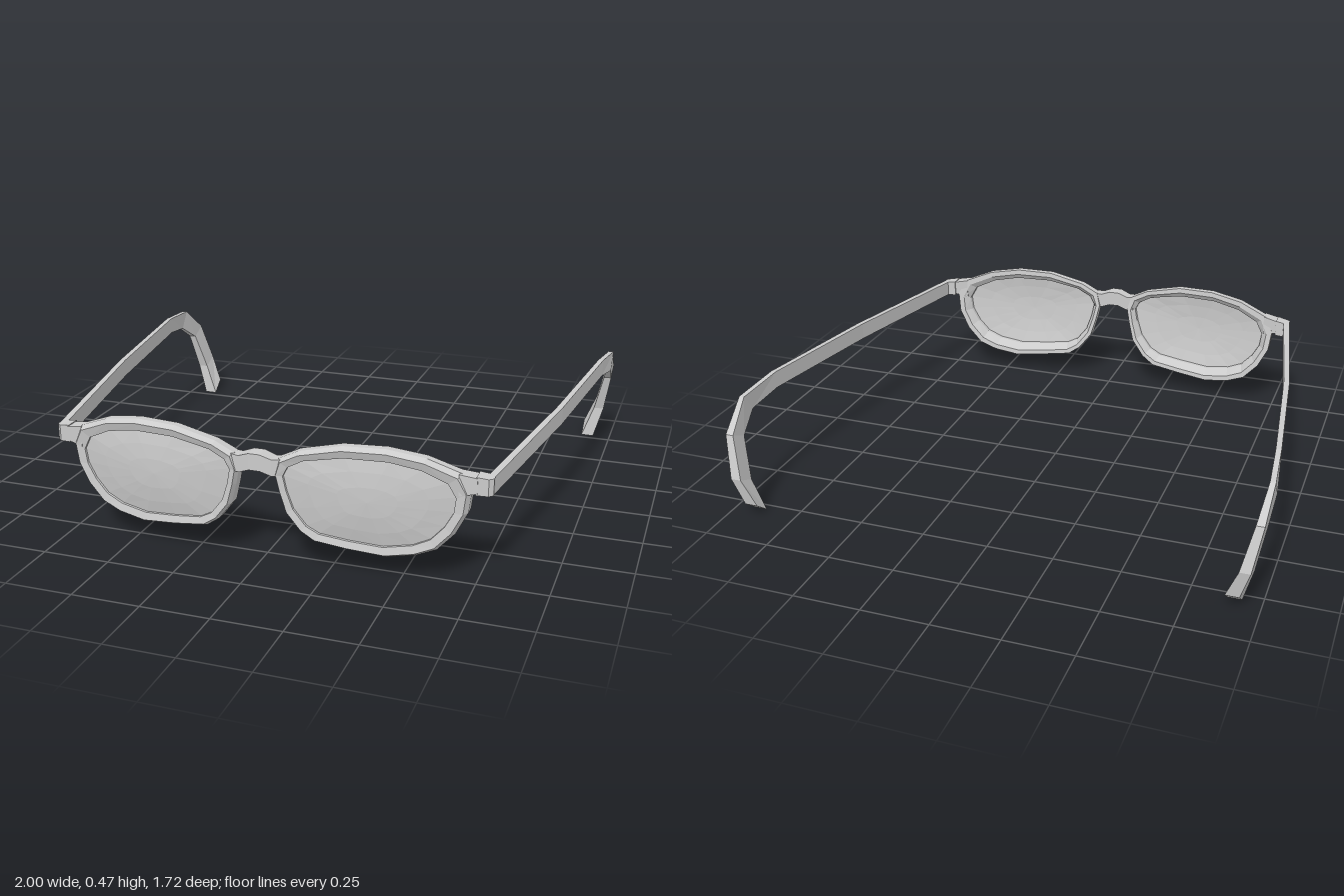
import * as THREE from 'three';

const frameMat = new THREE.MeshStandardMaterial({ color: 0xcccccc, flatShading: true });
const lensMat = new THREE.MeshStandardMaterial({ color: 0xcccccc, flatShading: true, side: THREE.DoubleSide });

// Joins equal-sized cross-sections; a ring is closed, otherwise the ends are capped
function loft(sections, ring = false) {
  const n = sections[0].length, m = sections.length, idx = [];
  for (let i = 0; i < (ring ? m : m - 1); i++) {
    for (let j = 0; j < n; j++) {
      const a = i * n + j, b = i * n + (j + 1) % n;
      const c = ((i + 1) % m) * n + j, d = ((i + 1) % m) * n + (j + 1) % n;
      idx.push(a, b, d, a, d, c);
    }
  }
  if (!ring) {
    const e = (m - 1) * n;
    for (let j = 1; j < n - 1; j++) idx.push(0, j + 1, j, e, e + j, e + j + 1);
  }
  // turn the faces outward if the enclosed volume comes out negative
  const pts = sections.flat().map((p) => new THREE.Vector3(...p));
  let volume = 0;
  for (let i = 0; i < idx.length; i += 3) {
    volume += pts[idx[i]].dot(pts[idx[i + 1]].clone().cross(pts[idx[i + 2]]));
  }
  return finish(pts, volume < 0 ? idx.reverse() : idx);
}

function finish(pts, idx) {
  const indexed = new THREE.BufferGeometry().setFromPoints(pts);
  indexed.setIndex(idx);
  const g = indexed.toNonIndexed();
  g.computeVertexNormals();
  return g;
}

// Curved, slightly tilted front of the spectacles, and its depth
const frontZ = (x, y) => 0.855 - 0.115 * x * x + 0.05 * (y - 0.38);
const backZ = (x, y) => frontZ(x, y) - 0.055 - 0.07 * (0.38 - y);

// Matching outer and inner outlines of one rim
const OUTER = [
  [0.065, 0.35], [0.08, 0.405], [0.15, 0.44], [0.30, 0.475], [0.45, 0.478], [0.58, 0.457],
  [0.70, 0.41], [0.73, 0.35], [0.72, 0.27], [0.68, 0.19], [0.62, 0.125], [0.55, 0.097],
  [0.45, 0.08], [0.32, 0.093], [0.20, 0.11], [0.15, 0.145], [0.10, 0.21], [0.078, 0.29],
];
const INNER = [
  [0.097, 0.345], [0.115, 0.38], [0.17, 0.41], [0.31, 0.436], [0.46, 0.436], [0.57, 0.415],
  [0.655, 0.375], [0.682, 0.325], [0.675, 0.27], [0.645, 0.215], [0.60, 0.165], [0.54, 0.137],
  [0.44, 0.12], [0.32, 0.13], [0.22, 0.143], [0.175, 0.167], [0.13, 0.225], [0.108, 0.29],
];

function rim(s) {
  return loft(OUTER.map(([ox, oy], i) => {
    const [ix, iy] = INNER[i];
    const at = (t, back, dz) => {
      const x = ox + (ix - ox) * t, y = oy + (iy - oy) * t;
      return [s * x, y, (back ? backZ(x, y) : frontZ(x, y)) + dz];
    };
    return [at(0, true, 0), at(0, false, -0.02), at(0.3, false, 0),
      at(1, false, -0.008), at(1, false, -0.035), at(0.5, true, 0)];
  }), true);
}

// Gently domed lens made of shrinking rings
function lens(s) {
  const n = INNER.length, pts = [], idx = [], cx = 0.39, cy = 0.285;
  const put = (k, x, y) => pts.push(new THREE.Vector3(s * x, y, frontZ(x, y) - 0.018 + 0.017 * (1 - k * k)));
  const rings = [1, 0.7, 0.35];
  for (const k of rings) for (const [x, y] of INNER) put(k, cx + (x - cx) * k, cy + (y - cy) * k);
  put(0, cx, cy);
  for (let r = 0; r < rings.length; r++) {
    for (let j = 0; j < n; j++) {
      const a = r * n + j, b = r * n + (j + 1) % n;
      if (r === rings.length - 1) idx.push(a, pts.length - 1, b);
      else idx.push(a, a + n, b + n, a, b + n, b);
    }
  }
  if (s < 0) idx.reverse();
  return finish(pts, idx);
}

// Upright rectangular section at x
const slab = (x, y0, y1, z0, z1) => [[x, y0, z0], [x, y1, z0], [x, y1, z1], [x, y0, z1]];

// Temple stations: outer x, inner x, top/back edge (z, y), bottom/front edge (z, y)
const TEMPLE = [
  [0.797, 0.772, 0.765, 0.40, 0.765, 0.34],
  [0.91, 0.888, 0.08, 0.425, 0.08, 0.36],
  [0.98, 0.96, -0.50, 0.44, -0.50, 0.375],
  [0.998, 0.978, -0.70, 0.42, -0.65, 0.352],
  [0.992, 0.962, -0.82, 0.32, -0.75, 0.287],
  [0.965, 0.925, -0.86, 0.16, -0.79, 0.13],
  [0.93, 0.88, -0.84, 0.05, -0.78, 0.003],
];

const temple = (s) => loft(TEMPLE.map(([xo, xi, tz, ty, bz, by]) => [
  [s * xo, ty, tz], [s * xi, ty, tz], [s * xi, by, bz], [s * xo, by, bz],
]));

export function createModel() {
  const model = new THREE.Group();
  model.name = 'spectacles';
  const add = (name, geometry, material = frameMat) => {
    const mesh = new THREE.Mesh(geometry, material);
    mesh.name = name;
    model.add(mesh);
  };

  // Arched nose bridge
  add('bridge', loft([
    slab(-0.09, 0.345, 0.405, 0.803, 0.846), slab(-0.06, 0.343, 0.403, 0.803, 0.852),
    slab(-0.02, 0.358, 0.418, 0.802, 0.858), slab(0.02, 0.358, 0.418, 0.802, 0.858),
    slab(0.06, 0.343, 0.403, 0.803, 0.852), slab(0.09, 0.345, 0.405, 0.803, 0.846),
  ]));

  for (const [side, s] of [['left', 1], ['right', -1]]) {
    add(side + 'Rim', rim(s));
    add(side + 'Lens', lens(s), lensMat);
    // Lug on the rim, then the hinge block that carries the temple
    add(side + 'Lug', loft([
      slab(s * 0.69, 0.335, 0.412, 0.745, 0.795), slab(s * 0.75, 0.348, 0.402, 0.733, 0.787),
    ]));
    add(side + 'Hinge', loft([
      slab(s * 0.745, 0.342, 0.406, 0.728, 0.786), slab(s * 0.785, 0.34, 0.40, 0.725, 0.778),
      slab(s * 0.80, 0.34, 0.40, 0.73, 0.765),
    ]));
    add(side + 'Temple', temple(s));
  }
  return model;
}
